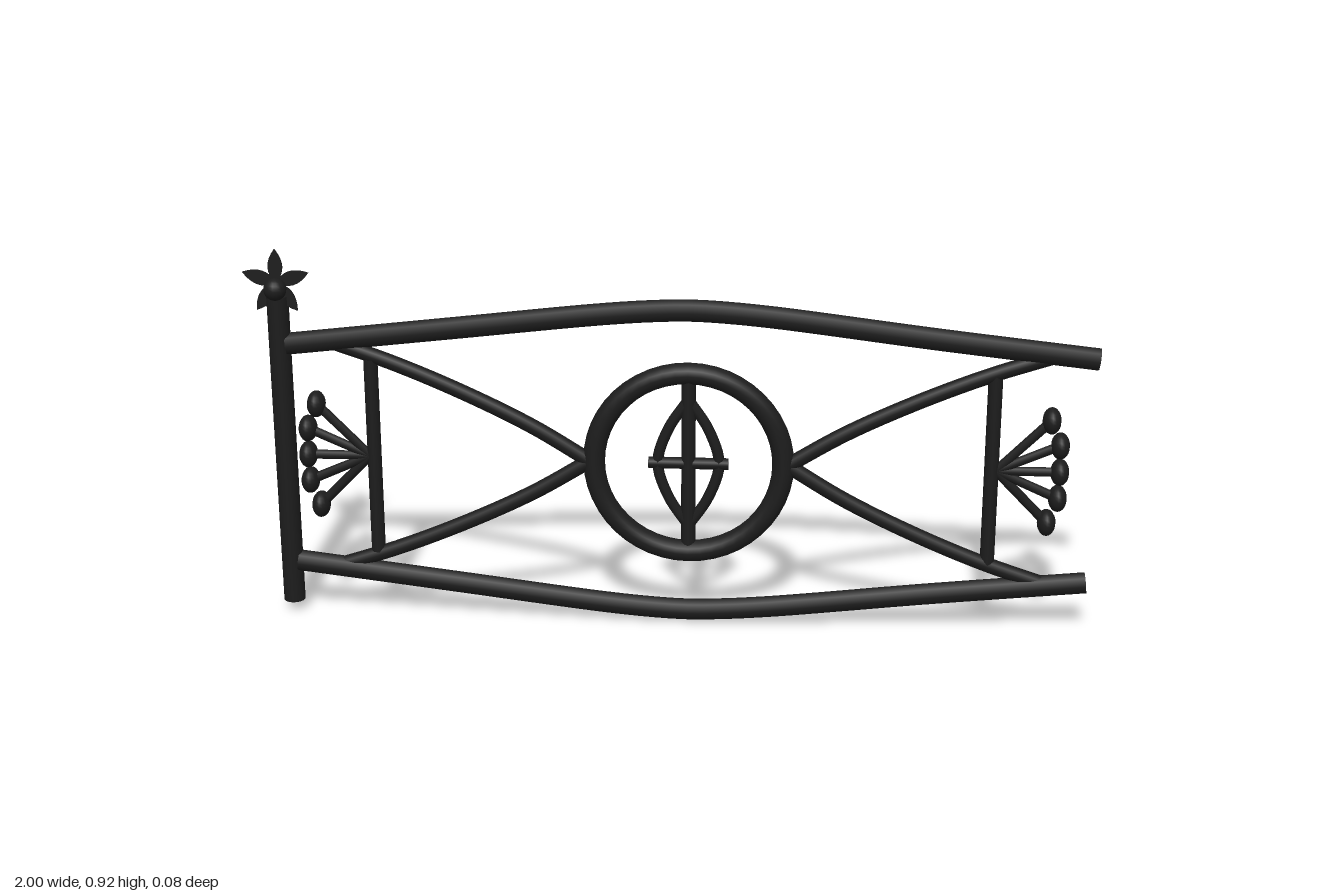
import * as THREE from 'three';

const CX = 0.045;   // middle of the panel
const CY = 0.41;
const Z = -0.006;   // plane of the ironwork

export function createModel() {
  const model = new THREE.Group();
  model.name = 'ornamentalGate';
  const iron = new THREE.MeshStandardMaterial({ color: 0x1c1c1c });
  iron.name = 'blackIron';

  const add = (name, geometry, parent = model) => {
    const mesh = new THREE.Mesh(geometry, iron);
    mesh.name = name;
    parent.add(mesh);
    return mesh;
  };
  const v = (x, y, z = Z) => new THREE.Vector3(x, y, z);

  // straight round bar between two points
  const bar = (name, a, b, r, parent, rEnd = r, sides = 12) => {
    const dir = b.clone().sub(a);
    const mesh = add(name, new THREE.CylinderGeometry(rEnd, r, dir.length(), sides), parent);
    mesh.position.copy(a).add(b).multiplyScalar(0.5);
    mesh.quaternion.setFromUnitVectors(v(0, 1, 0), dir.normalize());
    return mesh;
  };

  // bent round bar with closed ends
  const bentBar = (name, points, r, segments = 32, sides = 10) => {
    const group = new THREE.Group();
    group.name = name;
    model.add(group);
    const curve = new THREE.CatmullRomCurve3(points);
    add(name + 'Tube', new THREE.TubeGeometry(curve, segments, r, sides), group);
    for (const [t, sign] of [[0, -1], [1, 1]]) {
      const cap = add(name + 'Cap', new THREE.CircleGeometry(r, sides), group);
      cap.position.copy(curve.getPoint(t));
      cap.quaternion.setFromUnitVectors(v(0, 0, 1), curve.getTangent(t).multiplyScalar(sign));
    }
  };

  // post
  bar('post', v(-0.922, 0.03), v(-0.922, 0.805), 0.026, model, 0.026, 16);

  // arched rails, mirrored top to bottom
  for (const s of [1, -1]) {
    const rail = [[-0.95, 0.277], [-0.58, 0.321], [-0.2, 0.366], [-0.08, 0.376], [0, 0.379],
      [0.08, 0.376], [0.2, 0.366], [0.58, 0.321], [0.951, 0.281]]
      .map(([x, y]) => v(CX + x, CY + s * y));
    bentBar(s > 0 ? 'topRail' : 'bottomRail', rail, 0.027, 48, 8);
  }

  // curved braces from the ring out to the rails
  for (const sx of [-1, 1]) {
    for (const sy of [1, -1]) {
      const brace = [[0.235, 0], [0.37, 0.083], [0.53, 0.163], [0.7, 0.235], [0.845, 0.285]]
        .map(([x, y]) => v(CX + sx * x, CY + sy * y));
      bentBar('brace', brace, 0.018, 24);
    }
  }

  // central ring with its cross and pointed oval
  const ring = add('ring', new THREE.TorusGeometry(0.225, 0.026, 12, 48));
  ring.position.set(CX, CY, Z);
  bar('ringUpright', v(CX, CY - 0.225), v(CX, CY + 0.225), 0.017);
  bar('ringCrossbar', v(CX - 0.095, CY), v(CX + 0.095, CY), 0.014);
  for (const s of [-1, 1]) {
    const oval = [[0, 0.16], [0.048, 0.085], [0.073, 0], [0.048, -0.085], [0, -0.16]]
      .map(([x, y]) => v(CX + s * x, CY + y));
    bentBar('ovalSide', oval, 0.013, 24, 8);
  }

  // side uprights, each with a fan of stems and buds
  for (const [x, s] of [[-0.708, -1], [0.76, 1]]) {
    bar('sideUpright', v(x, 0.165), v(x, 0.655), 0.017);
    const fan = new THREE.Group();
    fan.name = 'budFan';
    model.add(fan);
    for (const [dx, dy] of [[0.135, 0.128], [0.158, 0.066], [0.16, 0], [0.158, -0.066], [0.135, -0.128]]) {
      const tip = v(x + s * dx, CY + dy);
      bar('stem', v(x + s * 0.01, CY), tip, 0.011, fan, 0.012, 8);
      const bud = add('bud', new THREE.SphereGeometry(1, 16, 12), fan);
      bud.scale.set(0.022, 0.032, 0.033);
      bud.position.copy(tip);
    }
  }

  // five-petalled flower on the post
  const flower = new THREE.Group();
  flower.name = 'flower';
  flower.position.set(-0.922, 0.838, 0);
  model.add(flower);
  const petal = new THREE.Shape();
  petal.moveTo(0, 0);
  petal.quadraticCurveTo(0.034, 0.036, 0, 0.082);
  petal.quadraticCurveTo(-0.034, 0.036, 0, 0);
  const petalGeometry = new THREE.ExtrudeGeometry(petal, { depth: 0.006, bevelEnabled: false, curveSegments: 8 });
  petalGeometry.translate(0, 0, -0.003);
  for (let i = 0; i < 5; i++) {
    add('petal', petalGeometry, flower).rotation.z = i * Math.PI * 2 / 5;
  }
  add('flowerCentre', new THREE.SphereGeometry(0.027, 16, 12), flower).position.set(0, -0.012, 0.013);

  return model;
}
